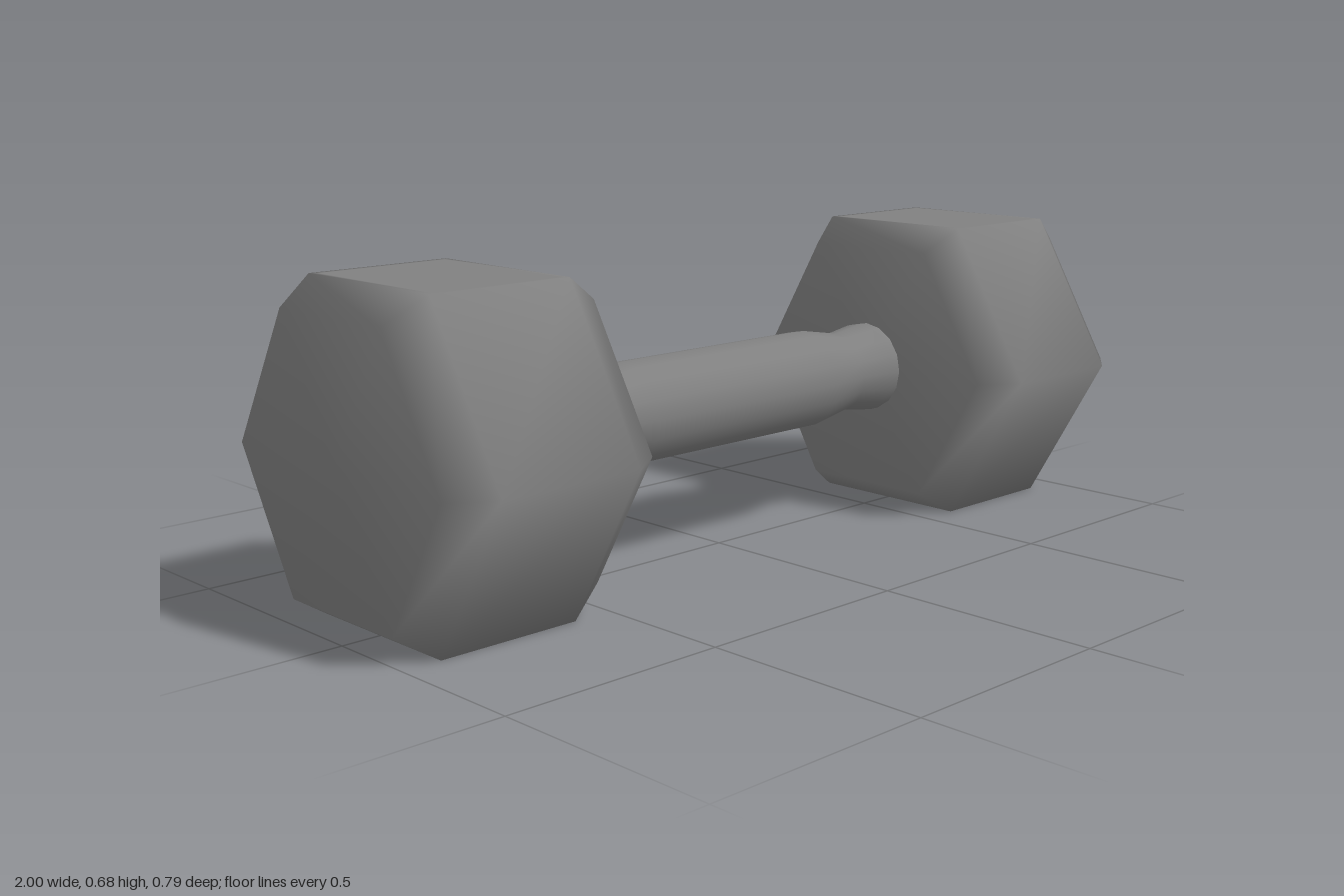
import * as THREE from 'three';

const AXIS_Y = 0.342;

// Chamfered hexagonal block along x: four six-sided rings closed by two end fans
function headGeometry() {
  const rings = [[-0.248, 0.332], [-0.162, 0.395], [0.162, 0.395], [0.248, 0.332]];
  const pos = [], index = [];
  const quad = (a, b, c, d) => index.push(a, b, c, a, c, d);
  for (const [x, r] of rings) {
    for (let k = 0; k < 6; k++) {
      const a = k * Math.PI / 3;
      pos.push(x, r * Math.sin(a), r * Math.cos(a));
    }
  }
  pos.push(-0.248, 0, 0, 0.248, 0, 0); // end centres: 24 and 25
  for (let k = 0; k < 6; k++) {
    const n = (k + 1) % 6;
    for (let i = 0; i < 3; i++) {
      const corners = [i * 6 + k, (i + 1) * 6 + k, (i + 1) * 6 + n, i * 6 + n];
      if (i === 1 && k === 1) {
        // The top flat is inset, with a narrow strip blending into its neighbours
        const inset = corners.map((v) => {
          pos.push(pos[v * 3] * 0.92, pos[v * 3 + 1], pos[v * 3 + 2] * 0.93);
          return pos.length / 3 - 1;
        });
        for (let j = 0; j < 4; j++) {
          const m = (j + 1) % 4;
          quad(corners[j], corners[m], inset[m], inset[j]);
        }
        quad(...inset);
      } else {
        quad(...corners);
      }
    }
    index.push(24, k, n, 25, 18 + n, 18 + k);
  }
  const geo = new THREE.BufferGeometry();
  geo.setAttribute('position', new THREE.Float32BufferAttribute(pos, 3));
  geo.setIndex(index);
  geo.computeVertexNormals();
  return geo;
}

// Turned grip with a waist near each head
function handleGeometry() {
  const half = [[0.112, 0.28], [0.092, 0.395], [0.105, 0.48], [0.105, 0.53]];
  const profile = [
    ...half.slice().reverse().map(([r, x]) => new THREE.Vector2(r, -x)),
    ...half.map(([r, x]) => new THREE.Vector2(r, x)),
  ];
  return new THREE.LatheGeometry(profile, 16).rotateZ(-Math.PI / 2);
}

export function createModel() {
  const group = new THREE.Group();
  group.name = 'dumbbell';
  const material = new THREE.MeshStandardMaterial({ color: 0x808080 });

  const headGeo = headGeometry();
  for (const [name, side] of [['leftHead', 1], ['rightHead', -1]]) {
    const head = new THREE.Mesh(headGeo, material);
    head.name = name;
    head.position.set(side * 0.752, AXIS_Y, 0);
    group.add(head);
  }

  const handle = new THREE.Mesh(handleGeometry(), material);
  handle.name = 'handle';
  handle.position.set(0, AXIS_Y, -0.005);
  group.add(handle);

  return group;
}
